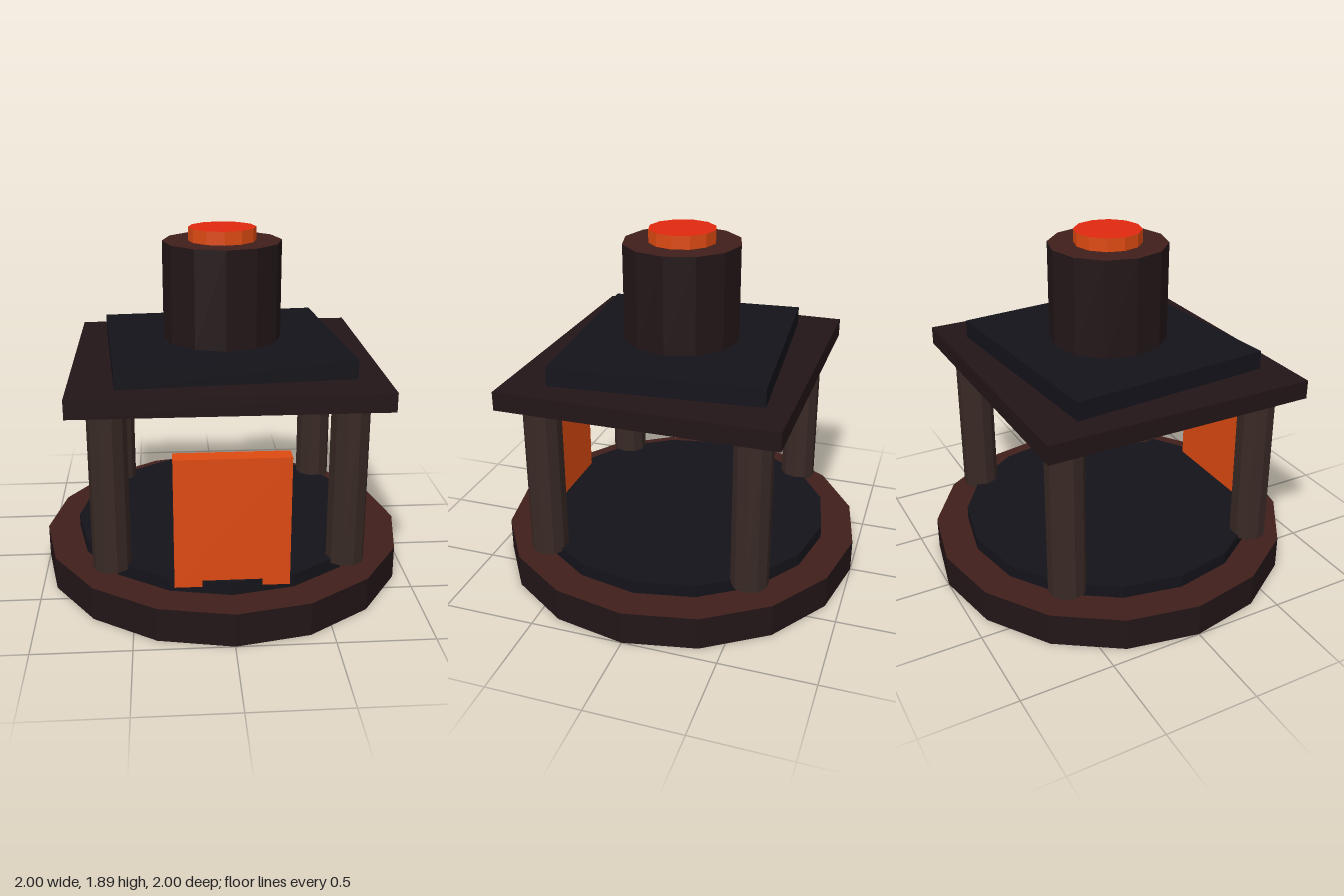
import * as THREE from 'three';

const paint = (color) => new THREE.MeshStandardMaterial({ color, flatShading: true });

export function createModel() {
  const model = new THREE.Group();
  const dark = paint(0x221517);
  const brown = paint(0x401f1a);
  const slate = paint(0x14131a);
  const wood = paint(0x382925);
  const orange = paint(0xde4a12);
  const red = paint(0xe0280f);

  const add = (name, geometry, material, x, y, z) => {
    const mesh = new THREE.Mesh(geometry, material);
    mesh.name = name;
    mesh.position.set(x, y, z);
    model.add(mesh);
    return mesh;
  };
  // Upright prism between two heights, with its own colour on the top face
  const drum = (name, radius, y0, y1, sides, side, top = side, x = 0, z = 0) =>
    add(name, new THREE.CylinderGeometry(radius, radius, y1 - y0, sides),
      [side, top, side], x, (y0 + y1) / 2, z);
  const slab = (name, width, depth, y0, y1, material, z = 0) =>
    add(name, new THREE.BoxGeometry(width, y1 - y0, depth), material, 0, (y0 + y1) / 2, z);

  // Stepped round base
  drum('base', 1, 0, 0.18, 16, dark, brown);
  drum('floor', 0.82, 0.18, 0.25, 16, slate);

  // Four corner posts
  for (const x of [-0.61, 0.61]) {
    for (const z of [-0.56, 0.56]) {
      drum('post', 0.1, 0.23, 1.1, 10, wood, wood, x, z).rotation.y = Math.PI / 2;
    }
  }

  // Panel at the front opening
  slab('frontPanel', 0.58, 0.09, 0.215, 0.905, orange, 0.745);

  // Roof with a slightly turned upper slab
  slab('roof', 1.6, 1.46, 1.1, 1.2, dark);
  slab('upperRoof', 1.22, 1.11, 1.2, 1.3, slate).rotation.y = 0.078;

  // Chimney and its glowing cap
  drum('chimney', 0.317, 1.3, 1.82, 12, dark, brown);
  drum('chimneyGlow', 0.18, 1.82, 1.89, 12, orange, red);

  return model;
}
